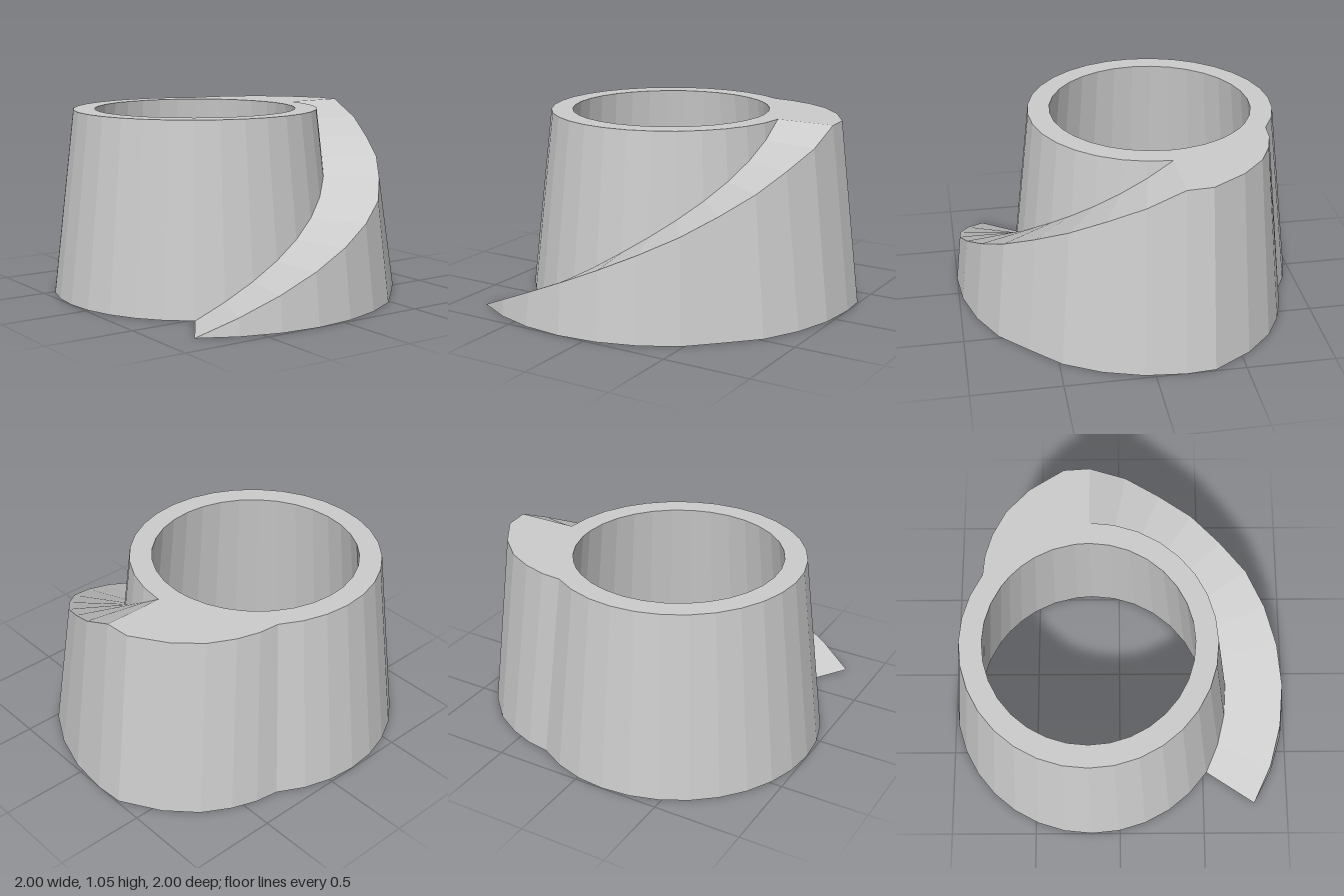
import * as THREE from 'three';

const H = 1.055;          // height of the collar
const BORE_TOP = 0.58;    // radius of the hole at the rim
const BORE_BASE = 0.69;   // radius of the hole at the ground
const BASE = 0.83;        // collar radius at the ground
const REACH = 1.17;       // ramp radius at the ground
const TAPER = 0.125;      // how much every outer wall leans in over H
const STEP = 11.25;       // degrees per facet
const CENTRE = -0.168;    // axis of the bore in x and z

const lean = (r, y) => r - TAPER * y / H;

// Cross-section at one angle: [radius, height] from the bore, over the top and back along the base
function section(deg, reach, h, inset = 0) {
  const a = THREE.MathUtils.degToRad(deg);
  const profile = [
    [BORE_BASE, 0], [BORE_TOP, H], [lean(BASE, H), H],
    [lean(BASE, h), h], [lean(reach, h) - inset, h], [reach, 0], [BORE_BASE, 0],
  ];
  return profile.map(([r, y]) => new THREE.Vector3(CENTRE + r * Math.cos(a), y, CENTRE + r * Math.sin(a)));
}

// Surface between profile points i and i + 1 along the runs of sections, one normal per facet
function strip(name, runs, i, material) {
  const points = [], normals = [];
  for (const run of runs) {
    for (let j = 0; j < run.length - 1; j++) {
      const a = run[j][i], b = run[j + 1][i], c = run[j + 1][i + 1], d = run[j][i + 1];
      const normal = c.clone().sub(a).cross(d.clone().sub(b)).normalize();
      for (const corners of [[a, b, d], [b, c, d]]) {
        if (new THREE.Triangle(...corners).getArea() < 1e-7) continue;
        for (const corner of corners) {
          points.push(...corner.toArray());
          normals.push(...normal.toArray());
        }
      }
    }
  }
  const geometry = new THREE.BufferGeometry();
  geometry.setAttribute('position', new THREE.Float32BufferAttribute(points, 3));
  geometry.setAttribute('normal', new THREE.Float32BufferAttribute(normals, 3));
  const mesh = new THREE.Mesh(geometry, material);
  mesh.name = name;
  return mesh;
}

export function createModel() {
  const group = new THREE.Group();
  group.name = 'collarWithSpiralRamp';
  const material = new THREE.MeshStandardMaterial({ color: 0xcccccc });

  // Full-height shoulder that swells out of the collar
  const swell = [[-56.25, BASE], [-48.6, 0.893], [-40.3, 0.958], [-31, 1.03], [-20.2, 1.098], [-8, REACH]];
  const ramp = swell.map(([deg, r]) => section(deg, r, H));

  // Ramp falling evenly to a knife edge on the ground, its edge pinched in along the steep part
  const pinch = [0, 0.005, 0.025, 0.02];
  for (let k = 0; k <= 11; k++) {
    ramp.push(section(k * STEP, k === 4 ? 1.15 : REACH, H * (1 - k / 11), pinch[k]));
  }

  // Plain collar around the rest of the turn
  const plain = [];
  for (let k = 11; k <= 27; k++) plain.push(section(k * STEP, BASE, H));

  const names = ['bore', 'topRim', 'collarWall', 'rampTop', 'outerWall', 'base'];
  names.forEach((name, i) => group.add(strip(name, [ramp, plain], i, material)));
  return group;
}
